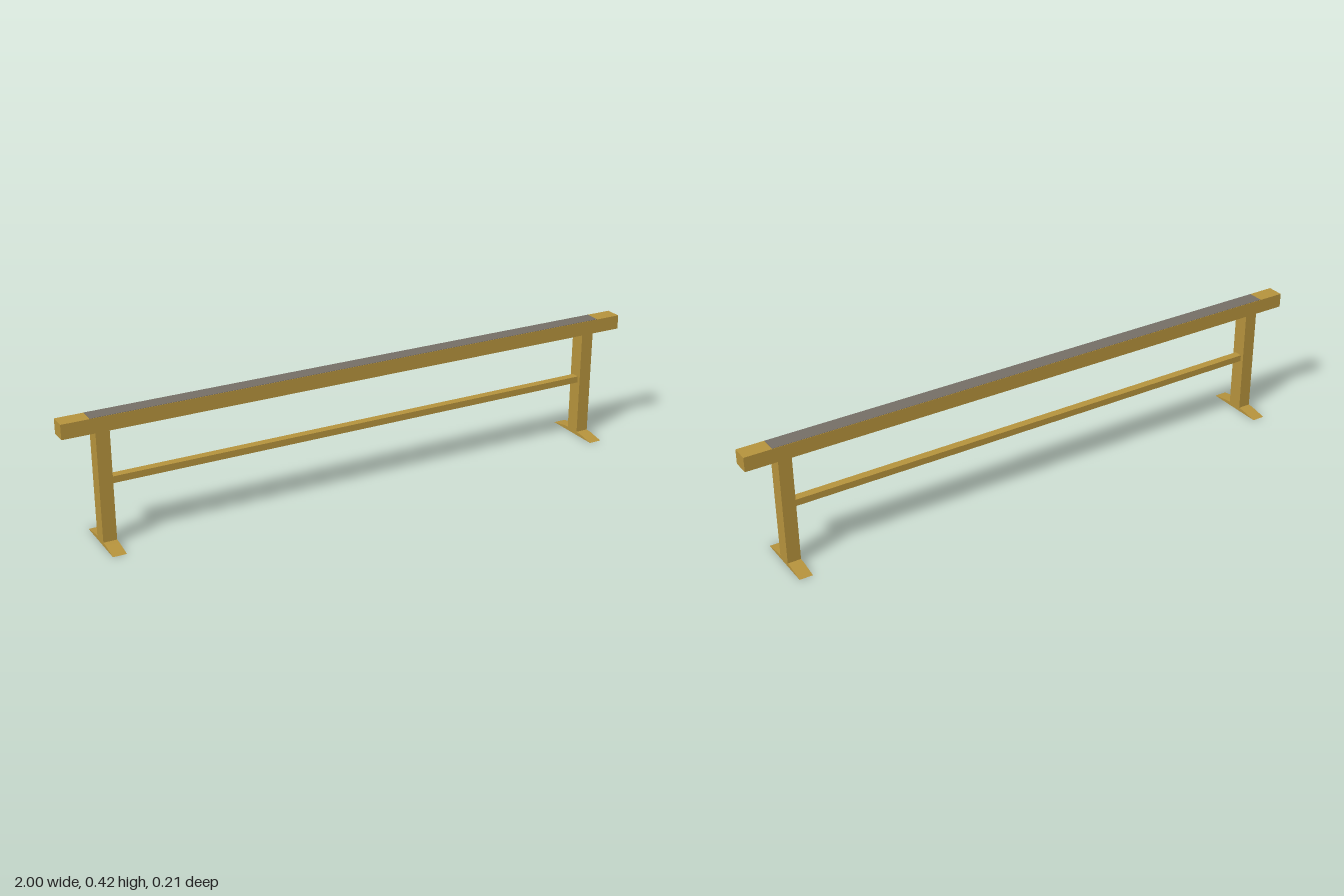
import * as THREE from 'three';

export function createModel() {
  const group = new THREE.Group();
  const wood = new THREE.MeshStandardMaterial({ color: 0xb5923c });
  wood.name = 'wood';
  const grip = new THREE.MeshStandardMaterial({ color: 0x756e66 });
  grip.name = 'greyGrip';

  const add = (name, geometry, material, x, y, z = 0) => {
    const mesh = new THREE.Mesh(geometry, material);
    mesh.name = name;
    mesh.position.set(x, y, z);
    group.add(mesh);
    return mesh;
  };
  const box = (name, w, h, d, x, y, material = wood) =>
    add(name, new THREE.BoxGeometry(w, h, d), material, x, y);

  // Long top beam with a thin grey covering
  box('topBeam', 2, 0.048, 0.056, 0, 0.395);
  box('topGrip', 1.82, 0.001, 0.053, 0, 0.4195, grip);

  // Lower stretcher between the legs
  box('stretcher', 1.71, 0.022, 0.028, 0, 0.205);

  // Foot profile: flat in the middle, tapering to the floor
  const profile = new THREE.Shape([
    [-0.106, 0], [0.106, 0], [0.045, 0.011], [0.026, 0.012], [-0.026, 0.012], [-0.045, 0.011],
  ].map(([z, y]) => new THREE.Vector2(z, y)));
  const footGeometry = new THREE.ExtrudeGeometry(profile, { depth: 0.044, bevelEnabled: false });
  footGeometry.translate(0, 0, -0.022);
  footGeometry.rotateY(Math.PI / 2);

  // Legs and feet on both ends
  for (const [side, s] of [['left', 1], ['right', -1]]) {
    box(side + 'Leg', 0.044, 0.368, 0.052, s * 0.874, 0.188);
    add(side + 'Foot', footGeometry, wood, s * 0.874, 0);
  }
  return group;
}
